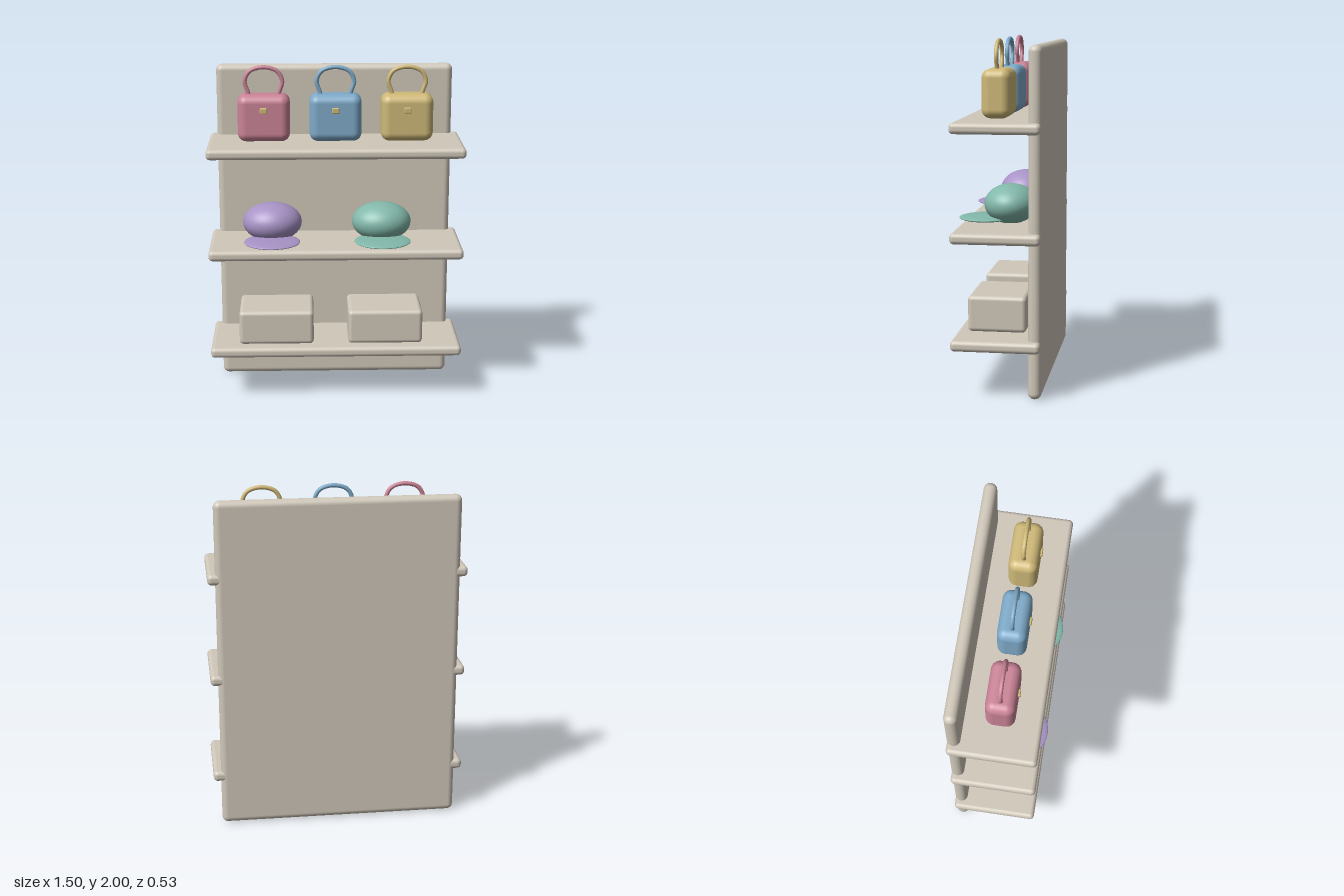
import * as THREE from 'three';
import { RoundedBoxGeometry } from 'three/addons/geometries/RoundedBoxGeometry.js';

function mat(name, color) {
  const m = new THREE.MeshStandardMaterial({ color });
  m.name = name;
  return m;
}

export function createModel() {
  const model = new THREE.Group();
  model.name = 'displayShelf';

  const cream = mat('cream', 0xcfc7b9);
  const pink = mat('pink', 0xcb8497);
  const blue = mat('blue', 0x7eaac9);
  const gold = mat('gold', 0xcfb978);
  const lilac = mat('lilac', 0xa893c6);
  const mint = mat('mint', 0x82b8aa);

  function add(parent, name, geometry, material, x, y, z) {
    const mesh = new THREE.Mesh(geometry, material);
    mesh.name = name;
    mesh.position.set(x, y, z);
    parent.add(mesh);
    return mesh;
  }
  const group = (name, x, y, z) => {
    const g = new THREE.Group();
    g.name = name;
    g.position.set(x, y, z);
    model.add(g);
    return g;
  };

  // Back panel and three shelves
  add(model, 'backPanel', new RoundedBoxGeometry(1.41, 1.97, 0.075, 5, 0.036), cream, 0, 0.985, -0.227);
  const shelf = new RoundedBoxGeometry(1.5, 0.062, 0.505, 4, 0.025);
  for (const y of [0.304, 0.91, 1.518]) add(model, 'shelf', shelf, cream, 0, y, -0.01);

  // Handbags on the top shelf
  const bagBody = new RoundedBoxGeometry(0.304, 0.275, 0.165, 6, 0.05);
  const handlePath = new THREE.CatmullRomCurve3([
    [-0.08, 0.1], [-0.092, 0.15], [-0.109, 0.21], [-0.08, 0.268], [0, 0.291],
    [0.08, 0.268], [0.109, 0.21], [0.092, 0.15], [0.08, 0.1],
  ].map(([x, y]) => new THREE.Vector3(x, y, 0)));
  const handle = new THREE.TubeGeometry(handlePath, 48, 0.0125, 12);
  const clasp = new RoundedBoxGeometry(0.042, 0.034, 0.03, 2, 0.006);
  [pink, blue, gold].forEach((color, i) => {
    const bag = group('handbag', (i - 1) * 0.418, 1.696, 0.01);
    add(bag, 'bagBody', bagBody, color, 0, 0, 0);
    add(bag, 'bagHandle', handle, color, 0, 0, 0);
    add(bag, 'bagClasp', clasp, gold, 0, 0.05, 0.08);
  });

  // Caps with flat brims on the middle shelf
  const sphere = new THREE.SphereGeometry(1, 40, 28);
  [[-0.378, lilac], [0.278, mint]].forEach(([x, color]) => {
    const cap = group('cap', x, 0.941, 0);
    add(cap, 'capCrown', sphere, color, 0, 0.105, -0.037).scale.set(0.177, 0.116, 0.154);
    add(cap, 'capBrim', sphere, color, 0, 0.021, 0.11).scale.set(0.167, 0.018, 0.155);
  });

  // Storage boxes on the bottom shelf
  const box = new RoundedBoxGeometry(0.446, 0.208, 0.336, 4, 0.025);
  for (const x of [-0.357, 0.297]) add(model, 'storageBox', box, cream, x, 0.439, 0.011);

  return model;
}
